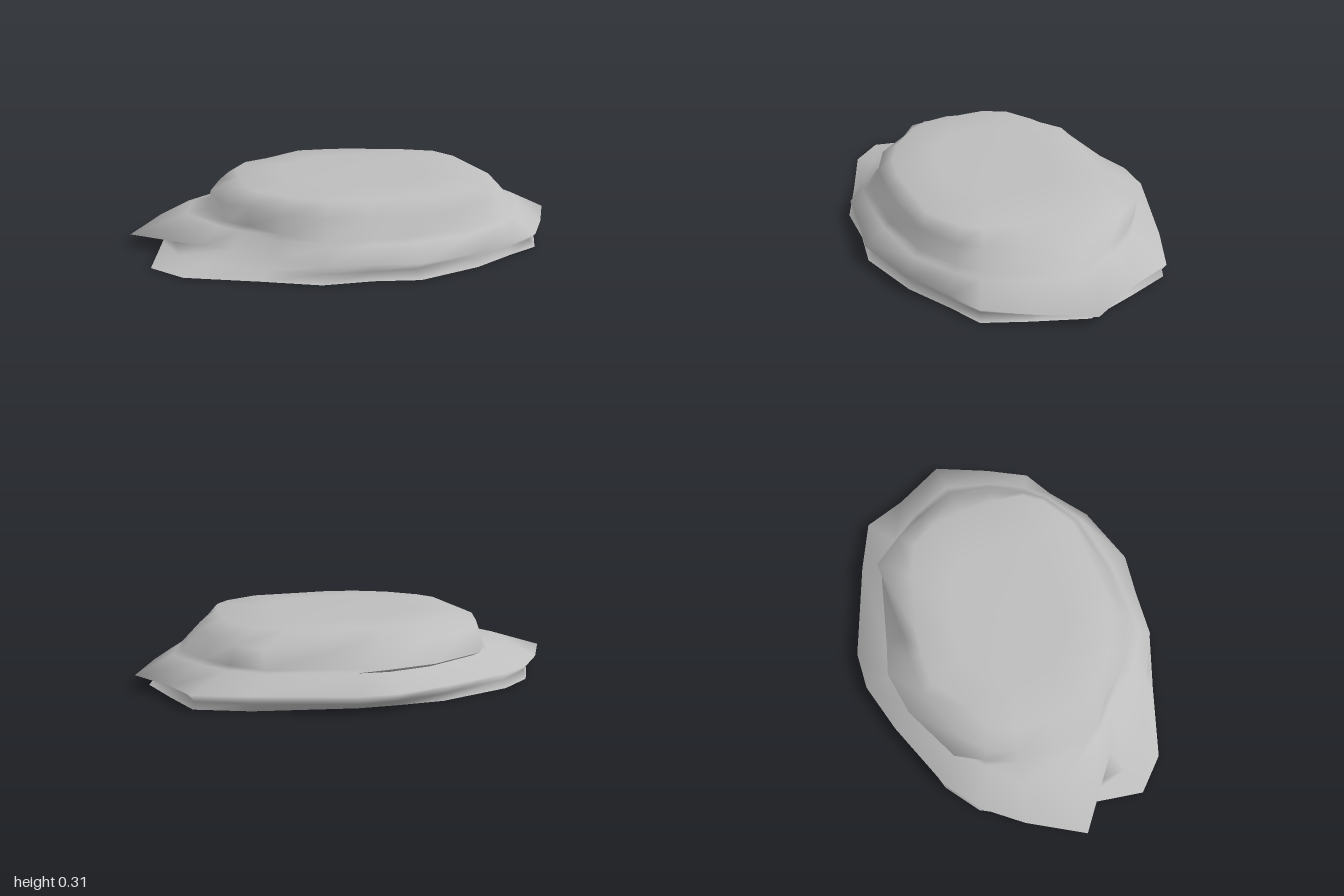
import * as THREE from 'three';

// Directions of the rock's corners in degrees, from +x round through +z
const angles = [0, 15, 28, 37, 53, 76, 92, 110, 130, 150, 161, 180, 196, 210, 223, 250, 270, 284, 318, 332, 345];
const SIDES = angles.length;

// Horizontal cross-sections: one radius for each direction
const base = [.94, .89, .89, .81, .75, .71, .66, .7, .74, .91, .97, .86, .85, .83, .77, .66, .62, .63, .78, .91, .9];
const groove = [.85, .85, .86, .79, .72, .66, .635, .66, .7, .79, .84, .81, .82, .8, .745, .66, .66, .68, .78, .9, .86];
const rim = [1, .92, .89, .81, .77, .72, .67, .69, .65, .66, .74, 1, .89, .83, .77, .69, .71, .72, .8, .92, .91];
const shoulder = [.83, .8, .78, .75, .7, .62, .6, .63, .61, .6, .65, .74, .73, .65, .61, .57, .57, .57, .68, .73, .77];
const ledge = [.79, .78, .75, .72, .66, .59, .57, .6, .57, .57, .62, .65, .63, .63, .645, .6, .595, .57, .68, .71, .74];
const wall = [.71, .7, .7, .69, .64, .55, .53, .55, .57, .57, .63, .63, .6, .6, .57, .51, .475, .48, .69, .69, .69];
const crown = [.6, .62, .65, .64, .59, .49, .48, .48, .49, .51, .52, .5, .52, .51, .45, .45, .42, .42, .5, .58, .6];

const ring = (radii, height, scale = 1) => radii.map((r, i) => {
  const a = THREE.MathUtils.degToRad(angles[i]);
  const y = typeof height === 'function' ? height(a) : height;
  return [r * scale * Math.cos(a), y, r * scale * Math.sin(a)];
});

// Skins a stack of rings and closes the last one at a centre point
function loft(rings, centreY, flip) {
  const points = [...rings.flat(), [0, centreY, 0]];
  const index = [];
  const face = (a, b, c) => (flip ? index.push(a, c, b) : index.push(a, b, c));
  rings.forEach((_, k) => {
    for (let i = 0; i < SIDES; i++) {
      const a = k * SIDES + i;
      const b = k * SIDES + ((i + 1) % SIDES);
      if (k === rings.length - 1) {
        face(a, points.length - 1, b);
      } else {
        face(a, a + SIDES, b);
        face(b, a + SIDES, b + SIDES);
      }
    }
  });
  const geometry = new THREE.BufferGeometry();
  geometry.setAttribute('position', new THREE.Float32BufferAttribute(points.flat(), 3));
  geometry.setIndex(index);
  geometry.computeVertexNormals();
  return geometry;
}

export function createModel() {
  const stone = new THREE.MeshStandardMaterial({ color: 0xbebebe });
  const group = new THREE.Group();
  group.name = 'flatRock';

  const baseRing = ring(base, 0.006);

  // Weathered sides: lower lip, groove, jutting rim, ledge and raised slab
  const body = new THREE.Mesh(loft([
    baseRing,
    ring(groove, 0.038),
    ring(rim, (a) => 0.055 + 0.028 * Math.abs(Math.sin(a))),
    ring(shoulder, 0.138),
    ring(ledge, 0.155),
    ring(wall, 0.24),
    ring(crown, 0.296),
    ring(crown, 0.303, 0.6),
  ], 0.305, false), stone);
  body.name = 'rockBody';

  // Nearly flat bottom
  const underside = new THREE.Mesh(loft([baseRing, ring(base, 0, 0.65)], 0, true), stone);
  underside.name = 'rockUnderside';

  group.add(body, underside);
  return group;
}
